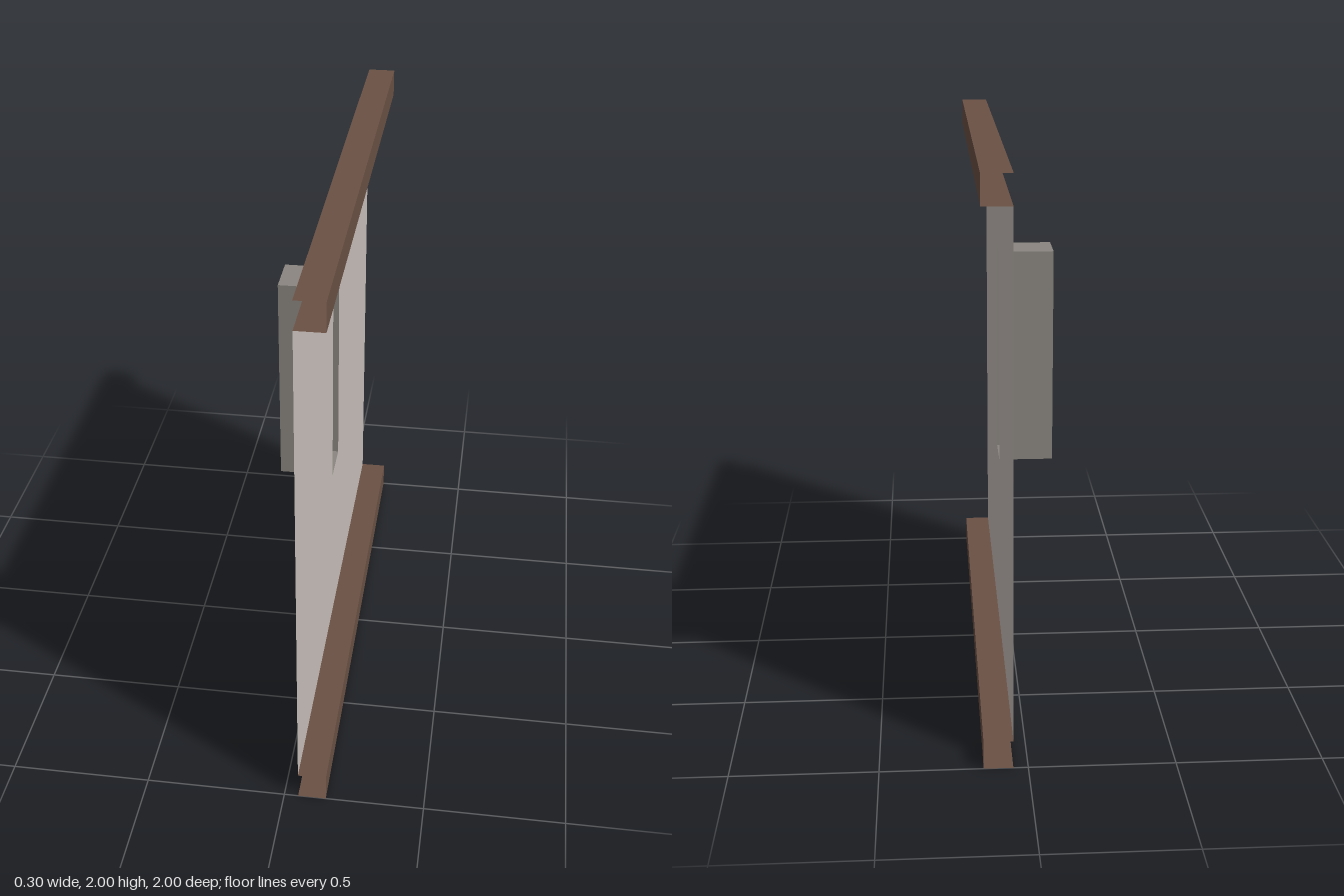
import * as THREE from 'three';

const paint = (name, color) => new THREE.MeshStandardMaterial({ name, color, side: THREE.DoubleSide });

export function createModel() {
  const group = new THREE.Group();
  group.name = 'wallPanel';
  const plaster = paint('plaster', 0xc9c0ba);
  const wood = paint('brown wood', 0x6b5144);
  const frame = paint('grey frame', 0x8b8680);
  const dark = paint('dark pane', 0x343434);

  const wallX = 0.05, trimX = 0.15, backX = -0.15;
  const half = 0.083, low = 0.77, high = 1.57;

  const add = (name, geometry, material) => {
    const mesh = new THREE.Mesh(geometry, material);
    mesh.name = name;
    group.add(mesh);
    return mesh;
  };
  // Thin sheets: level (facing up), facing +x, facing +z
  const level = (name, x0, x1, y, depth, material) =>
    add(name, new THREE.PlaneGeometry(x1 - x0, depth).rotateX(-Math.PI / 2), material)
      .position.set((x0 + x1) / 2, y, 0);
  const sideways = (name, x, y0, y1, depth, material) =>
    add(name, new THREE.PlaneGeometry(depth, y1 - y0).rotateY(Math.PI / 2), material)
      .position.set(x, (y0 + y1) / 2, 0);
  const upright = (name, x0, x1, y0, y1, z, material) =>
    add(name, new THREE.PlaneGeometry(x1 - x0, y1 - y0), material)
      .position.set((x0 + x1) / 2, (y0 + y1) / 2, z);

  // Wall sheet with the slot cut out
  const rect = (path, w, y0, y1) =>
    path.moveTo(-w, y0).lineTo(w, y0).lineTo(w, y1).lineTo(-w, y1).closePath();
  const outline = rect(new THREE.Shape(), 1, 0.1, 1.9);
  outline.holes.push(rect(new THREE.Path(), half, low, high));
  add('wall', new THREE.ShapeGeometry(outline).rotateY(Math.PI / 2), plaster).position.x = wallX;

  // Open-backed trim channels along the bottom and top edges
  for (const [name, y] of [['bottomTrim', 0], ['topTrim', 1.9]]) {
    level(name + 'Lower', wallX, trimX, y, 2, wood);
    level(name + 'Upper', wallX, trimX, y + 0.1, 2, wood);
    sideways(name + 'Face', trimX, y, y + 0.1, 2, wood);
  }

  // Slot recess and its dark pane
  level('recessSill', backX, wallX, low, half * 2, frame);
  level('recessHead', backX, wallX, high, half * 2, frame);
  for (const [name, s] of [['recessFrontJamb', 1], ['recessBackJamb', -1]])
    upright(name, backX, wallX, low, high, s * half, frame);
  sideways('recessPane', backX, low, high, half * 2, dark);

  return group;
}
